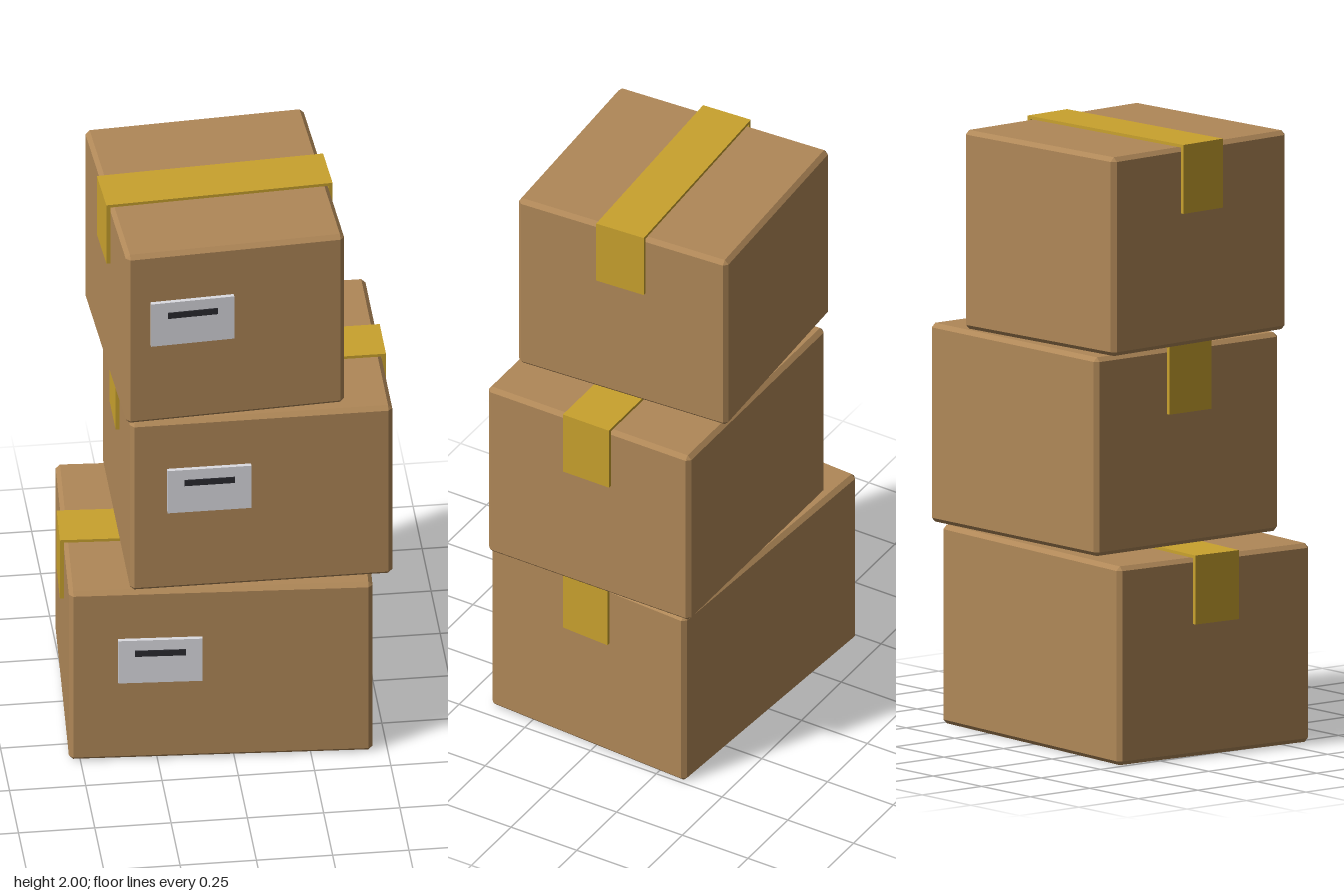
import * as THREE from 'three';
import { ConvexGeometry } from 'three/addons/geometries/ConvexGeometry.js';

const HEIGHT = 0.657, STEP = 0.667, DEPTH = 0.77, BEVEL = 0.014;
const TAPE = { width: 0.175, thick: 0.01, side: 0.013, drop: 0.228 };

const mat = (color) => new THREE.MeshStandardMaterial({ color, flatShading: true });
const cardboard = mat(0xb08858);
const tapeYellow = mat(0xc9a22e);
const paper = mat(0xdcdce2);
const ink = mat(0x2a2a30);

// Box with every edge and corner chamfered: three points per corner
function chamferedBox(w, h, d, b) {
  const points = [];
  for (const sx of [-1, 1]) for (const sy of [-1, 1]) for (const sz of [-1, 1]) {
    for (let axis = 0; axis < 3; axis++) {
      const inset = [b, b, b];
      inset[axis] = 0;
      points.push(new THREE.Vector3(
        sx * (w / 2 - inset[0]), sy * (h / 2 - inset[1]), sz * (d / 2 - inset[2])));
    }
  }
  return new ConvexGeometry(points);
}

function add(parent, name, geometry, material, x, y, z) {
  const mesh = new THREE.Mesh(geometry, material);
  mesh.name = name;
  mesh.position.set(x, y, z);
  parent.add(mesh);
}

function makeCarton(name, width) {
  const carton = new THREE.Group();
  carton.name = name;
  add(carton, 'cardboardBox', chamferedBox(width, HEIGHT, DEPTH, BEVEL), cardboard, 0, HEIGHT / 2, 0);

  // Tape across the top, folded down both sides
  const { width: tw, thick, side, drop } = TAPE;
  const top = HEIGHT + thick;
  add(carton, 'tapeTop', new THREE.BoxGeometry(width + 2 * side, thick, tw), tapeYellow, 0, top - thick / 2, 0);
  for (const s of [-1, 1]) {
    add(carton, s > 0 ? 'tapeFlapLeft' : 'tapeFlapRight', new THREE.BoxGeometry(side, drop - thick, tw),
      tapeYellow, s * (width + side) / 2, top - (drop + thick) / 2, 0);
  }

  // Shipping label with a dark printed bar on the front
  const lx = -0.2 * width;
  add(carton, 'label', new THREE.BoxGeometry(0.275, 0.165, 0.014), paper, lx, 0.39, DEPTH / 2 + 0.007);
  add(carton, 'labelBar', new THREE.BoxGeometry(0.165, 0.022, 0.008), ink, lx, 0.423, DEPTH / 2 + 0.014);
  return carton;
}

export function createModel() {
  const model = new THREE.Group();
  model.name = 'cartonStack';
  // Each carton: name, width, x offset, turn about the vertical
  const cartons = [
    ['bottomCarton', 0.99, -0.02, -0.06],
    ['middleCarton', 0.86, 0.09, 0],
    ['topCarton', 0.722, -0.018, 0.06],
  ];
  cartons.forEach(([name, width, x, turn], i) => {
    const carton = makeCarton(name, width);
    carton.position.set(x, i * STEP, -0.002);
    carton.rotation.y = turn;
    model.add(carton);
  });
  return model;
}
